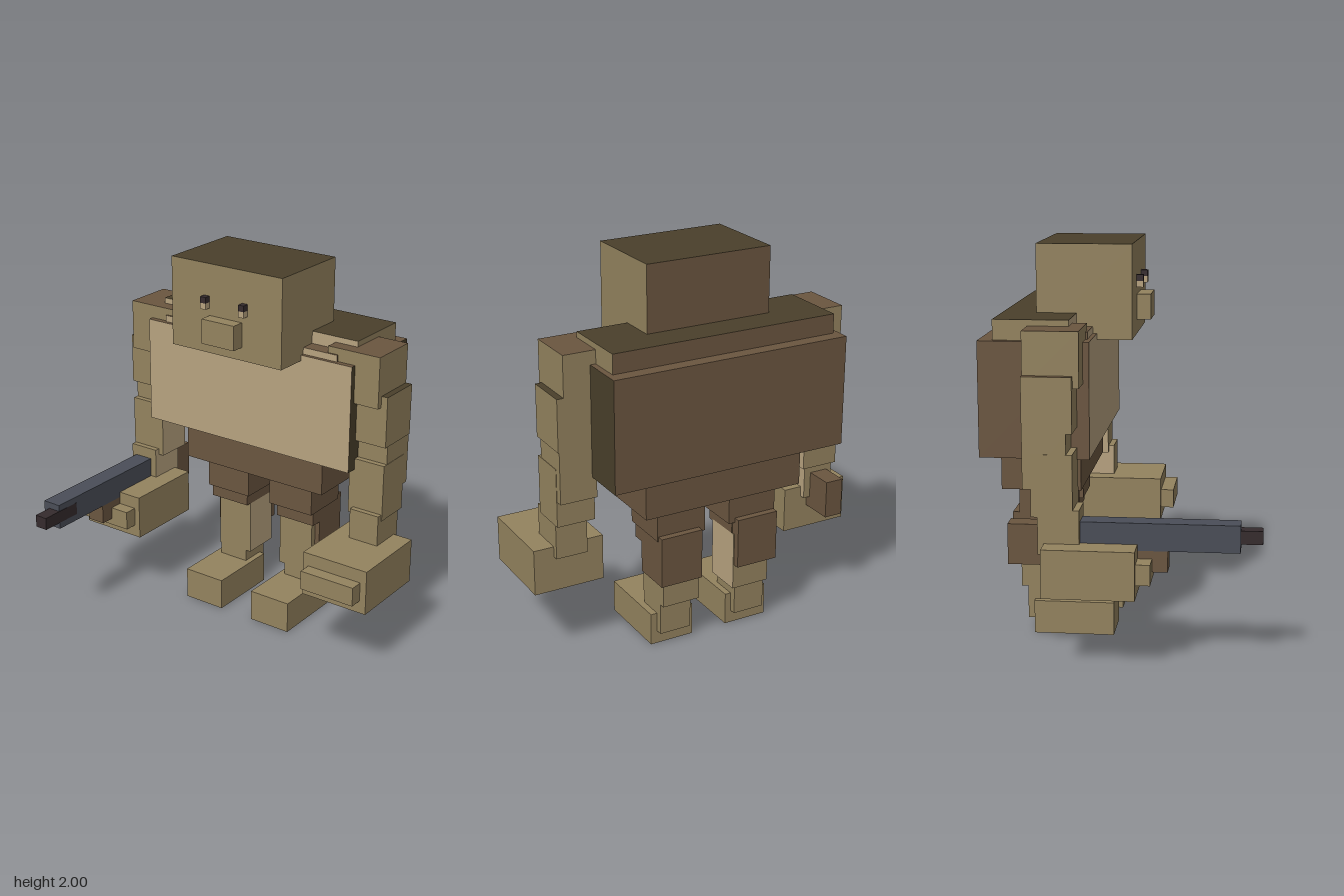
import * as THREE from 'three';

const mat = (name, color) => {
  const m = new THREE.MeshStandardMaterial({ color });
  m.name = name;
  return m;
};

export function createModel() {
  const tan = mat('tan', 0x94835f);
  const light = mat('light tan', 0xb8a380);
  const brown = mat('brown', 0x6b5640);
  const olive = mat('dark olive', 0x4a402b);
  const slate = mat('slate', 0x4a4e58);
  const dark = mat('near black', 0x352b2d);

  const model = new THREE.Group();
  model.name = 'figure';

  // Box from min/max ranges; faces may override the base colour
  // (keys: px, nx, py, ny, pz, nz)
  function box(parent, name, [x0, x1], [y0, y1], [z0, z1], base, faces) {
    const geo = new THREE.BoxGeometry(x1 - x0, y1 - y0, z1 - z0);
    const m = faces
      ? ['px', 'nx', 'py', 'ny', 'pz', 'nz'].map((k) => faces[k] || base)
      : base;
    const mesh = new THREE.Mesh(geo, m);
    mesh.name = name;
    mesh.position.set((x0 + x1) / 2, (y0 + y1) / 2, (z0 + z1) / 2);
    parent.add(mesh);
    return mesh;
  }

  const group = (name) => {
    const g = new THREE.Group();
    g.name = name;
    model.add(g);
    return g;
  };

  // Head with snout and eyes
  const head = group('head');
  box(head, 'skull', [-0.34, 0.34], [1.53, 2], [-0.45, 0.025], tan, { py: olive, nz: brown });
  box(head, 'snout', [-0.1, 0.1], [1.6, 1.73], [0, 0.095], tan);
  for (const s of [-1, 1]) {
    const ex = [s * 0.118 - 0.017, s * 0.118 + 0.017];
    box(head, 'eye', ex, [1.8, 1.832], [0.02, 0.06], dark);
    box(head, 'lowerEyelid', ex, [1.768, 1.8], [0.02, 0.06], light);
  }

  // Torso
  const torso = group('torso');
  box(torso, 'chest', [-0.64, 0.64], [0.99, 1.56], [-0.69, -0.15], brown, { px: olive, pz: light, ny: light });
  box(torso, 'upperChest', [-0.54, 0.54], [1.4, 1.595], [-0.5, -0.17], brown, { pz: light });
  box(torso, 'shoulderYoke', [-0.61, 0.61], [1.4, 1.66], [-0.62, -0.25], tan, { py: olive, pz: light, nz: brown });
  box(torso, 'pelvis', [-0.44, 0.44], [0.785, 1.0], [-0.62, -0.22], brown);

  for (const s of [1, -1]) {
    const side = s > 0 ? 'left' : 'right';
    const X = (a, b) => (s > 0 ? [a, b] : [-b, -a]);
    const inner = s > 0 ? 'nx' : 'px';

    // Arm
    const arm = group(side + 'Arm');
    box(arm, 'shoulder', X(0.48, 0.78), [1.36, 1.63], [-0.45, -0.18], tan, { py: brown });
    box(arm, 'upperArm', X(0.61, 0.815), [1.15, 1.42], [-0.45, -0.21], tan, { py: s > 0 ? olive : brown });
    box(arm, 'elbow', X(0.615, 0.81), [0.88, 1.15], [-0.45, -0.24], tan);
    box(arm, 'forearm', X(0.61, 0.812), [0.745, 1.05], [-0.41, -0.21], tan, { [inner]: light });
    box(arm, 'wrist', X(0.64, 0.808), [0.56, 0.78], [-0.38, -0.18], tan, { [inner]: light });
    box(arm, 'hand', X(0.54, 0.915), [0.375, 0.615], [-0.35, 0.095], tan);
    box(arm, 'fingers', X(0.572, 0.88), [0.443, 0.545], [0.05, 0.165], tan);

    // Leg
    const leg = group(side + 'Leg');
    box(leg, 'thigh', X(0.07, 0.34), [0.615, 0.79], [-0.55, -0.28], brown);
    box(leg, 'knee', X(0.105, 0.335), [0.375, 0.64], [-0.585, -0.375], brown);
    box(leg, 'lowerThigh', X(0.1, 0.335), [0.54, 0.75], [-0.53, -0.31], brown);
    box(leg, 'shin', X(0.1, 0.307), [0.24, 0.548], [-0.55, -0.342], tan, { [inner]: light });
    box(leg, 'ankle', X(0.132, 0.305), [0.07, 0.31], [-0.517, -0.345], tan);
    box(leg, 'foot', X(0.1, 0.34), [0, 0.172], [-0.48, -0.07], tan);
  }

  // Long gun carried beside the right hand
  const gun = group('gun');
  box(gun, 'receiver', [-0.78, -0.676], [0.585, 0.72], [-0.2, 0.585], slate);
  box(gun, 'barrel', [-0.745, -0.675], [0.62, 0.686], [0.45, 0.69], dark);
  box(gun, 'foreGrip', [-0.777, -0.678], [0.48, 0.59], [-0.1, 0.24], brown);
  box(gun, 'stock', [-0.777, -0.678], [0.5, 0.7], [-0.53, -0.15], brown);

  return model;
}
